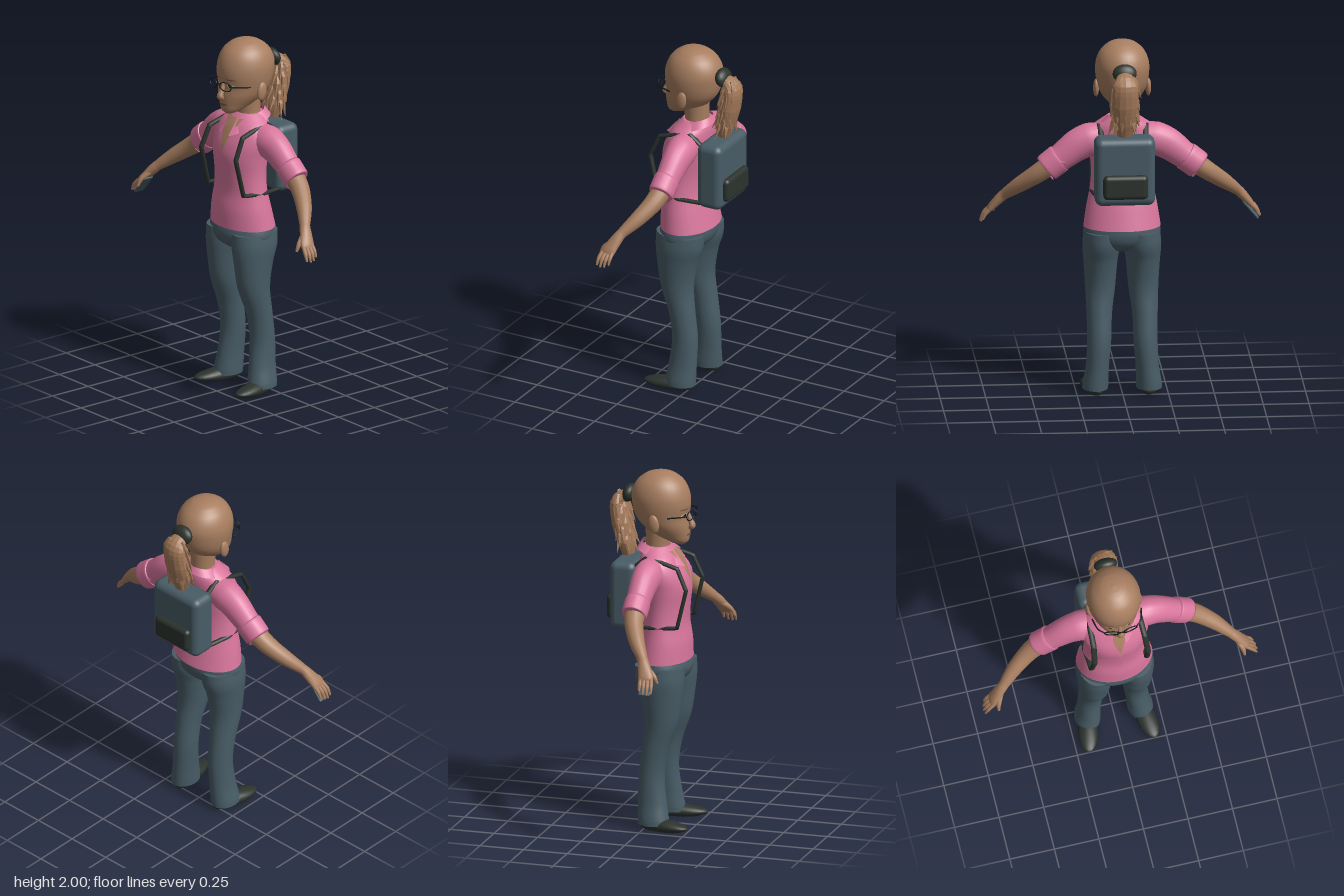
import * as THREE from 'three';
import { RoundedBoxGeometry } from 'three/addons/geometries/RoundedBoxGeometry.js';

const mat = (name, color, extra = {}) => Object.assign(new THREE.MeshStandardMaterial({ color, ...extra }), { name });
const V = (p) => new THREE.Vector3(...p);

// Closed skin over a list of rings, capped at both ends
function skinRings(rings) {
  const n = rings[0].length, pos = [], idx = [];
  rings.forEach((r) => r.forEach((p) => pos.push(p.x, p.y, p.z)));
  for (let i = 0; i < rings.length - 1; i++) for (let j = 0; j < n; j++) {
    const a = i * n + j, b = i * n + (j + 1) % n;
    idx.push(a, b, a + n, b, b + n, a + n);
  }
  [rings[0], rings[rings.length - 1]].forEach((r, e) => {
    const c = r.reduce((s, p) => s.add(p), new THREE.Vector3()).divideScalar(n);
    const base = pos.length / 3;
    r.forEach((p) => pos.push(p.x, p.y, p.z));
    pos.push(c.x, c.y, c.z);
    for (let j = 0; j < n; j++) {
      const a = base + j, b = base + (j + 1) % n;
      idx.push(...(e ? [a, b, base + n] : [b, a, base + n]));
    }
  });
  const g = new THREE.BufferGeometry();
  g.setAttribute('position', new THREE.Float32BufferAttribute(pos, 3));
  g.setIndex(idx);
  g.computeVertexNormals();
  return g;
}

// Smooth lookup of a profile row [y, centreX, centreZ, radiusX, radiusZ] at a height
function rowAt(rows, y) {
  let i = 0;
  while (i < rows.length - 2 && y > rows[i + 1][0]) i++;
  const a = rows[i], b = rows[i + 1], h = b[0] - a[0], t = THREE.MathUtils.clamp((y - a[0]) / h, 0, 1);
  const p = rows[Math.max(i - 1, 0)], q = rows[Math.min(i + 2, rows.length - 1)];
  return a.map((v, k) => {
    const m0 = (b[k] - p[k]) / (b[0] - p[0]) * h, m1 = (q[k] - v) / (q[0] - a[0]) * h;
    const t2 = t * t, t3 = t2 * t;
    return (2 * t3 - 3 * t2 + 1) * v + (t3 - 2 * t2 + t) * m0 + (3 * t2 - 2 * t3) * b[k] + (t3 - t2) * m1;
  });
}

// Upright body form from profile rows
function loft(rows, s = 1, sub = 5, n = 32) {
  const rings = [];
  for (let i = 0; i < rows.length - 1; i++) for (let k = 0; k < sub + (i === rows.length - 2 ? 1 : 0); k++) {
    const y = rows[i][0] + (rows[i + 1][0] - rows[i][0]) * k / sub;
    const [, cx, cz, rx, rz] = rowAt(rows, y);
    rings.push(Array.from({ length: n }, (_, j) => {
      const a = j / n * Math.PI * 2;
      return new THREE.Vector3(s * cx + rx * Math.sin(a), y, cz + rz * Math.cos(a));
    }));
  }
  return skinRings(rings);
}

// Tapered limb along points [x, y, z, radius, radiusAlongRef]
function limb(pts, ref = [0, 0, 1], n = 12, steps = 5, sharp = false) {
  const curve = new THREE.CatmullRomCurve3(pts.map((p) => V(p.slice(0, 3))), false, 'catmullrom', sharp ? 0 : 0.5);
  const total = (pts.length - 1) * steps, rings = [];
  for (let i = 0; i <= total; i++) {
    const t = i / total, c = curve.getPoint(t), T = curve.getTangent(t);
    const k = Math.min(Math.floor(i / steps), pts.length - 2), f = i / steps - k;
    const r = THREE.MathUtils.lerp(pts[k][3], pts[k + 1][3], f);
    const q = THREE.MathUtils.lerp(pts[k][4] ?? pts[k][3], pts[k + 1][4] ?? pts[k + 1][3], f);
    const side = V(ref).cross(T).normalize(), nor = T.clone().cross(side);
    rings.push(Array.from({ length: n }, (_, j) => {
      const a = j / n * Math.PI * 2;
      return c.clone().addScaledVector(side, r * Math.cos(a)).addScaledVector(nor, q * Math.sin(a));
    }));
  }
  return skinRings(rings);
}

// Lay a flat geometry on the front of a lofted form
function layOn(g, rows, lift) {
  const p = g.attributes.position;
  for (let i = 0; i < p.count; i++) {
    const [, , cz, rx, rz] = rowAt(rows, p.getY(i));
    p.setZ(i, cz + rz * Math.sqrt(Math.max(0, 1 - (p.getX(i) / rx) ** 2)) + lift);
  }
  g.computeVertexNormals();
  return g;
}

const HEAD = [
  [1.592, 0, 0.165, 0.015, 0.015], [1.61, 0, 0.15, 0.05, 0.052], [1.65, 0, 0.105, 0.085, 0.105],
  [1.7, 0, 0.075, 0.118, 0.135], [1.75, 0, 0.055, 0.136, 0.15], [1.82, 0, 0.05, 0.148, 0.163],
  [1.88, 0, 0.046, 0.145, 0.16], [1.94, 0, 0.046, 0.121, 0.132], [1.98, 0, 0.047, 0.078, 0.084],
  [1.995, 0, 0.048, 0.04, 0.043], [2, 0, 0.048, 0.004, 0.004]];
const TORSO = [
  [0.945, 0, 0.068, 0.212, 0.152], [1.05, 0, 0.078, 0.196, 0.138], [1.15, 0, 0.082, 0.177, 0.12],
  [1.25, 0, 0.085, 0.168, 0.122], [1.35, 0, 0.083, 0.176, 0.133], [1.42, 0, 0.073, 0.188, 0.13],
  [1.48, 0, 0.058, 0.186, 0.118], [1.525, 0, 0.045, 0.158, 0.105], [1.555, 0, 0.035, 0.12, 0.09],
  [1.58, 0, 0.028, 0.085, 0.075]];
const HIPS = [
  [0.815, 0, 0.075, 0.12, 0.08], [0.85, 0, 0.076, 0.185, 0.125], [0.9, 0, 0.076, 0.212, 0.146], [0.965, 0, 0.07, 0.202, 0.138]];
const LEG = [
  [0.03, 0.148, 0.052, 0.071, 0.088], [0.06, 0.146, 0.05, 0.071, 0.087], [0.15, 0.137, 0.042, 0.064, 0.08],
  [0.3, 0.127, 0.034, 0.066, 0.072], [0.45, 0.125, 0.054, 0.07, 0.075], [0.6, 0.118, 0.087, 0.083, 0.094],
  [0.75, 0.116, 0.087, 0.094, 0.118], [0.84, 0.112, 0.077, 0.104, 0.138], [0.92, 0.108, 0.074, 0.1, 0.14]];

export function createModel() {
  const root = new THREE.Group();
  const skin = mat('skin', 0xa87e60), pink = mat('shirt pink', 0xd8769c, { side: THREE.DoubleSide });
  const denim = mat('denim blue', 0x485c66), dark = mat('dark trim', 0x2b322c), black = mat('frame black', 0x14181a);
  const white = mat('eye white', 0xc8b8a6), lip = mat('lip brown', 0x7d5543), hairMat = mat('hair brown', 0xa47a5a);
  hairMat.flatShading = true;
  const add = (name, g, m, pos, scale) => {
    const mesh = new THREE.Mesh(g, m);
    mesh.name = name;
    if (pos) mesh.position.set(...pos);
    if (scale) mesh.scale.set(...scale);
    root.add(mesh);
    return mesh;
  };
  const ball = new THREE.SphereGeometry(1, 20, 14);

  // Head, neck and face
  add('head', loft(HEAD), skin);
  add('neck', loft([[1.48, 0, 0.035, 0.08, 0.075], [1.57, 0, 0.03, 0.068, 0.066], [1.7, 0, 0.035, 0.075, 0.075]]), skin);
  add('nose', limb([[0, 1.775, 0.196, 0.012], [0, 1.73, 0.216, 0.014], [0, 1.7, 0.226, 0.019, 0.022], [0, 1.685, 0.208, 0.012]], [1, 0, 0]), skin);
  add('mouth', layOn(new THREE.CircleGeometry(1, 20).scale(0.036, 0.007, 1).translate(0, 1.652, 0), HEAD, 0.004), lip);

  // Shirt with open neck and collar
  add('shirtBody', loft(TORSO, 1, 5, 40), pink);
  const vee = new THREE.PlaneGeometry(2, 0.18, 8, 10).translate(0, 1.47, 0);
  const vp = vee.attributes.position;
  for (let i = 0; i < vp.count; i++) vp.setX(i, vp.getX(i) * 0.062 * (vp.getY(i) - 1.379) / 0.18);
  add('openNeck', layOn(vee, TORSO, 0.005), skin);
  add('placket', layOn(new THREE.PlaneGeometry(0.024, 0.42, 2, 20).translate(0, 1.17, 0), TORSO, 0.005), pink);
  const collar = new THREE.PlaneGeometry(1, 1, 32, 3), cp = collar.attributes.position;
  for (let i = 0; i < cp.count; i++) {
    const a = 0.3 + (cp.getX(i) + 0.5) * (Math.PI * 2 - 0.6), d = 0.5 - cp.getY(i), f = (1 + Math.cos(a)) / 2;
    const y = 1.605 - 0.045 * f - d * (0.035 + 0.055 * f ** 3);
    cp.setXYZ(i, Math.sin(a) * (0.082 + 0.04 * d), y, 0.025 + Math.cos(a) * (0.083 + 0.022 * f + d * (0.02 + 0.06 * f)));
  }
  collar.computeVertexNormals();
  add('collar', collar, pink);

  // Trousers seat
  add('trouserSeat', loft(HIPS, 1, 5, 40), denim);

  // Shoe with a flattened sole
  const shoe = new THREE.SphereGeometry(1, 24, 16), sp = shoe.attributes.position;
  for (let i = 0; i < sp.count; i++) {
    const z = sp.getZ(i);
    sp.setXYZ(i, sp.getX(i) * (0.054 + 0.008 * z), Math.max(-0.025, sp.getY(i) * (0.04 - 0.012 * z)) + 0.025, z * 0.147);
  }
  shoe.computeVertexNormals();

  for (const s of [1, -1]) {
    const side = s > 0 ? 'left' : 'right';
    const m = (pts) => pts.map(([x, ...rest]) => [s * x, ...rest]);
    // Face details
    add(side + 'Ear', ball, skin, [s * 0.143, 1.73, 0.05], [0.016, 0.052, 0.03]).rotation.x = -0.15;
    const spot = (rx, ry, x, y) => new THREE.CircleGeometry(1, 18).scale(rx, ry, 1).translate(s * x, y, 0);
    add(side + 'Eye', layOn(spot(0.024, 0.011, 0.052, 1.768), HEAD, 0.003), white);
    add(side + 'Iris', layOn(spot(0.01, 0.01, 0.052, 1.768), HEAD, 0.005), black);
    add(side + 'Brow', layOn(spot(0.032, 0.004, 0.055, 1.802), HEAD, 0.003), lip);
    // Glasses
    const lens = add(side + 'GlassesRim', new THREE.TorusGeometry(1, 0.09, 6, 28), black, [s * 0.052, 1.77, 0.232], [0.04, 0.025, 0.04]);
    lens.rotation.y = s * 0.2;
    add(side + 'GlassesArm', limb(m([[0.09, 1.775, 0.224, 0.004], [0.122, 1.775, 0.19, 0.004], [0.138, 1.768, 0.125, 0.004]]), [0, 1, 0], 6), black);
    // Sleeve and rolled cuff
    add(side + 'Sleeve', limb(m([[0.1, 1.455, 0.035, 0.08, 0.08], [0.18, 1.443, 0.03, 0.093, 0.083],
      [0.25, 1.412, 0.026, 0.089, 0.074], [0.33, 1.352, 0.025, 0.077, 0.066], [0.39, 1.308, 0.025, 0.072, 0.064]]), [0, 0, 1], 20), pink);
    add(side + 'Cuff', limb(m([[0.345, 1.342, 0.025, 0.074, 0.066], [0.352, 1.337, 0.025, 0.082, 0.071],
      [0.41, 1.292, 0.025, 0.08, 0.069], [0.416, 1.287, 0.025, 0.07, 0.06]]), [0, 0, 1], 20), pink);
    // Forearm, palm, fingers and thumb
    add(side + 'Forearm', limb(m([[0.39, 1.308, 0.025, 0.058], [0.47, 1.248, 0.043, 0.052], [0.56, 1.178, 0.09, 0.043],
      [0.635, 1.112, 0.145, 0.029], [0.665, 1.08, 0.163, 0.027, 0.034], [0.705, 1.032, 0.185, 0.02, 0.042], [0.72, 1.012, 0.19, 0.014, 0.04]]), [0, 0, 1], 16), skin);
    for (let i = 0; i < 4; i++) {
      const o = i - 1.5, l = [0.92, 1, 0.96, 0.8][3 - i];
      add(side + 'Finger' + (i + 1), limb(m([[0.708, 1.028, 0.188 + o * 0.019, 0.012], [0.708 + 0.038 * l, 1.028 - 0.04 * l, 0.195 + o * 0.022, 0.011],
        [0.708 + 0.058 * l, 1.028 - 0.082 * l, 0.197 + o * 0.023, 0.006]]), [0, 0, 1], 8), skin);
    }
    add(side + 'Thumb', limb(m([[0.66, 1.075, 0.175, 0.016], [0.685, 1.035, 0.225, 0.014], [0.69, 0.995, 0.248, 0.007]]), [0, 0, 1], 8), skin);
    // Leg and shoe
    add(side + 'TrouserLeg', loft(LEG, s, 4, 28), denim);
    add(side + 'Shoe', shoe, dark, [s * 0.16, 0, 0.113]).rotation.y = s * 0.18;
    // Backpack strap
    add(side + 'Strap', limb(m([[0.12, 1.47, -0.07, 0.011, 0.016], [0.125, 1.53, 0.0, 0.011, 0.016], [0.138, 1.525, 0.06, 0.011, 0.016],
      [0.143, 1.488, 0.185, 0.011, 0.016], [0.15, 1.37, 0.238, 0.011, 0.016], [0.155, 1.155, 0.188, 0.011, 0.016],
      [0.165, 1.145, 0.06, 0.011, 0.014], [0.14, 1.14, -0.07, 0.011, 0.014]]), [1, 0, 0], 8, 6, true), dark);
  }
  add('glassesBridge', limb([[-0.014, 1.774, 0.24, 0.004], [0, 1.779, 0.242, 0.004], [0.014, 1.774, 0.24, 0.004]], [0, 0, 1], 6), black);

  // Backpack
  add('backpack', new RoundedBoxGeometry(0.33, 0.38, 0.15, 4, 0.04), denim, [0, 1.31, -0.127]);
  add('backpackPocket', new RoundedBoxGeometry(0.245, 0.135, 0.06, 4, 0.025), dark, [0, 1.232, -0.202]);

  // Phone held in the right palm
  const phone = add('phone', new RoundedBoxGeometry(0.012, 0.13, 0.065, 2, 0.005), denim, [-0.712, 0.988, 0.19]);
  phone.rotation.z = -0.7;

  // Ponytail with a tie, a core and ragged locks
  add('hairTie', ball, dark, [0, 1.857, -0.134], [0.066, 0.052, 0.036]).rotation.x = 0.3;
  add('ponytailCore', limb([[0, 1.85, -0.145, 0.03, 0.04], [0, 1.8, -0.195, 0.045, 0.07], [0, 1.69, -0.178, 0.055, 0.075],
    [0, 1.58, -0.15, 0.05, 0.065], [0, 1.51, -0.138, 0.034, 0.04]], [1, 0, 0], 14), hairMat);
  let seed = 7;
  const rnd = () => (seed = (seed * 16807) % 2147483647) / 2147483647;
  for (let i = 0; i < 36; i++) {
    const a = i * 2.4, t = (i + rnd()) / 36, y = 1.85 - 0.25 * t;
    const cz = -0.188 + 0.04 * t, x = Math.sin(a) * 0.06, z = cz + Math.cos(a) * 0.042, out = 1.25 + rnd() * 0.3;
    add('ponytailLock', limb([[x * 0.6, y + 0.015, cz + (z - cz) * 0.5, 0.008, 0.016], [x, y - 0.03, z, 0.011, 0.02],
      [x * out, y - 0.085 - 0.03 * rnd(), cz + (z - cz) * out + 0.012, 0.001, 0.001]], [1, 0, 0], 5, 3), hairMat);
  }
  return root;
}
